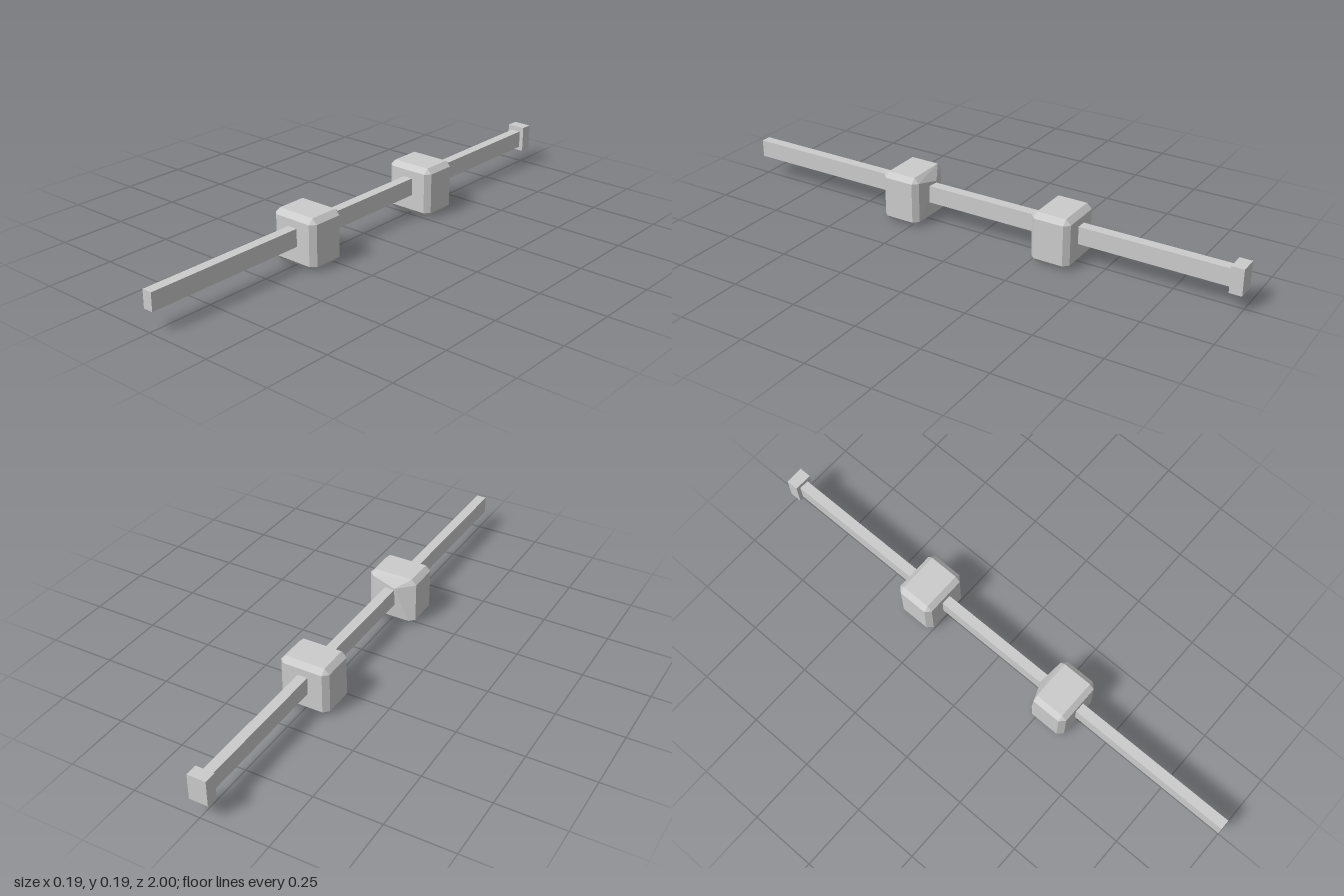
import * as THREE from 'three';
import { ConvexGeometry } from 'three/addons/geometries/ConvexGeometry.js';

const material = new THREE.MeshStandardMaterial({ color: 0xcccccc, flatShading: true });

// Box with flat bevels on every edge: each corner becomes three points
function bevelledBox(w, h, d, b) {
  const points = [];
  for (const sx of [-1, 1]) for (const sy of [-1, 1]) for (const sz of [-1, 1]) {
    for (let axis = 0; axis < 3; axis++) {
      const half = [w / 2, h / 2, d / 2].map((v, i) => (i === axis ? v : v - b));
      points.push(new THREE.Vector3(sx * half[0], sy * half[1], sz * half[2]));
    }
  }
  return new ConvexGeometry(points);
}

// Moves every copy of one corner point
function moveCorner(geometry, from, to) {
  const pos = geometry.attributes.position;
  const p = new THREE.Vector3();
  for (let i = 0; i < pos.count; i++) {
    if (p.fromBufferAttribute(pos, i).distanceTo(from) < 0.002) pos.setXYZ(i, to.x, to.y, to.z);
  }
  geometry.computeVertexNormals();
}

export function createModel() {
  const model = new THREE.Group();
  const add = (name, geometry, y, z) => {
    const mesh = new THREE.Mesh(geometry, material);
    mesh.name = name;
    mesh.position.set(0, y, z);
    model.add(mesh);
  };

  // Long bar and its end plate
  add('bar', new THREE.BoxGeometry(0.038, 0.066, 1.96), 0.11, 0.02);
  add('endPlate', new THREE.BoxGeometry(0.07, 0.098, 0.046), 0.112, -0.977);

  // Bevelled blocks threaded on the bar; the front one has a dented rear corner
  const size = [0.188, 0.19, 0.15, 0.019];
  const frontGeometry = bevelledBox(...size);
  moveCorner(frontGeometry, new THREE.Vector3(-0.075, 0.076, -0.075), new THREE.Vector3(-0.02, 0.055, -0.087));
  add('frontBlock', frontGeometry, 0.095, 0.293);
  add('rearBlock', bevelledBox(...size), 0.095, -0.325);

  return model;
}
